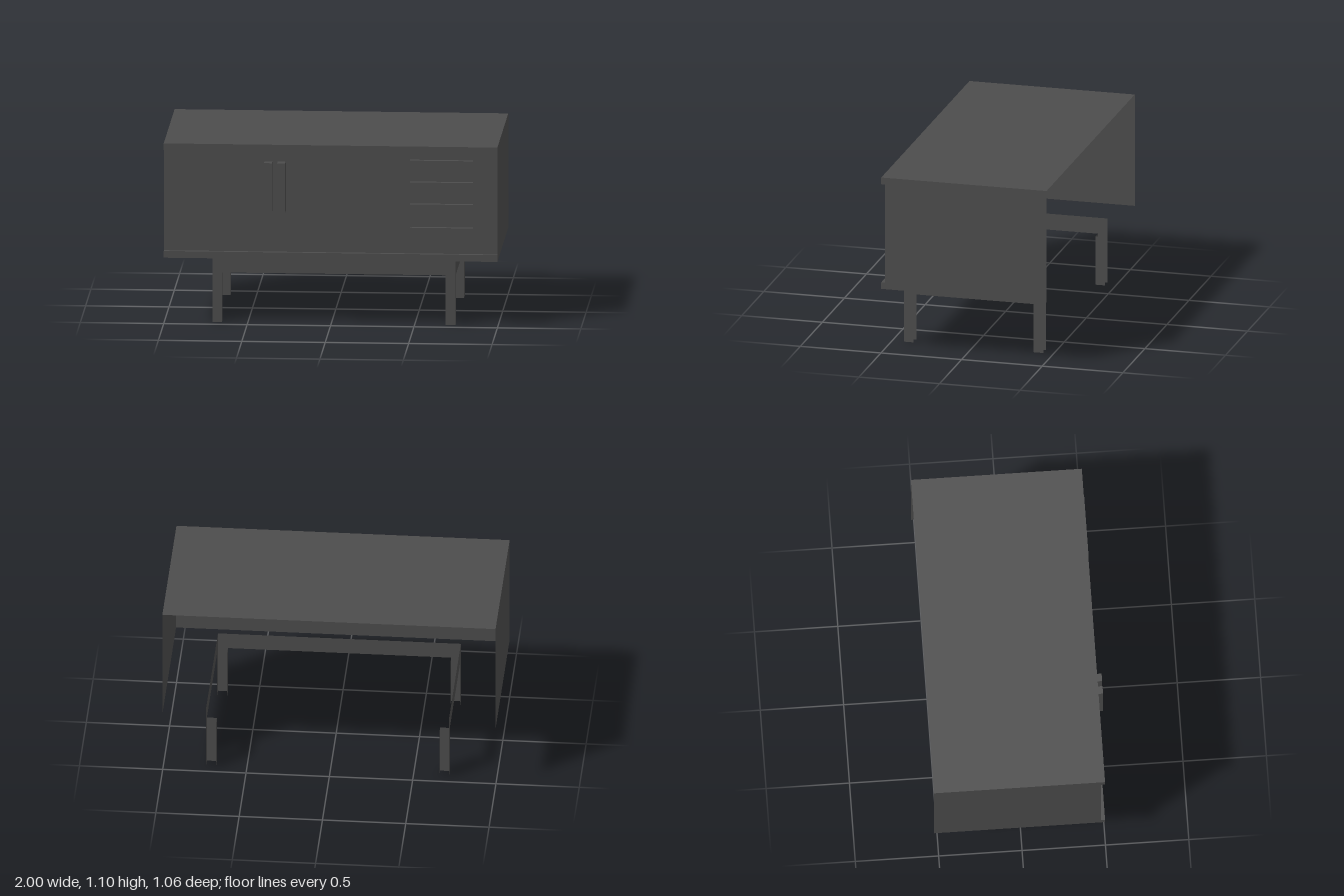
import * as THREE from 'three';

const SIDES = ['left', 'right', 'top', 'bottom', 'front', 'back']; // +x -x +y -y +z -z

export function createModel() {
  const group = new THREE.Group();
  const charcoal = new THREE.MeshStandardMaterial({ color: 0x4c4c4c, side: THREE.DoubleSide });
  charcoal.name = 'charcoal';

  // Sheet shell: a box that keeps only the listed faces
  function shell(name, [x0, x1], [y0, y1], [z0, z1], faces, parent = group) {
    const geo = new THREE.BoxGeometry(x1 - x0, y1 - y0, z1 - z0);
    const all = Array.from(geo.index.array);
    geo.setIndex(faces.flatMap((f) => {
      const start = SIDES.indexOf(f) * 6;
      return all.slice(start, start + 6);
    }));
    geo.clearGroups();
    const mesh = new THREE.Mesh(geo, charcoal);
    mesh.name = name;
    mesh.position.set((x0 + x1) / 2, (y0 + y1) / 2, (z0 + z1) / 2);
    parent.add(mesh);
    return mesh;
  }

  const FACE = 0.474; // z of the door and drawer front
  const openBack = ['left', 'right', 'top', 'bottom', 'front'];

  // Cabinet, open at the back and below, with lips along the front
  shell('cabinet', [-1, 1], [0.402, 1.1], [-0.527, FACE], ['left', 'right', 'top', 'front']);
  shell('topLip', [-1, 1], [1.058, 1.1], [FACE, 0.498], openBack);
  shell('bottomLip', [-1, 1], [0.402, 0.443], [FACE, 0.498], openBack);

  // Upright door handles
  for (const x of [-0.398, -0.318]) {
    shell('doorHandle', [x, x + 0.048], [0.693, 0.993], [FACE, 0.528], openBack);
  }

  // Drawer pulls
  for (const y of [0.587, 0.73, 0.864, 0.997]) {
    shell('drawerPull', [0.476, 0.853], [y, y + 0.018], [FACE, 0.502], openBack);
  }

  // Legs: hollow, open behind; the inner faces stop below the rails
  const legX = { right: [-0.713, -0.655], left: [0.685, 0.745] };
  const legZ = { front: [0.367, 0.427], back: [-0.437, -0.377] };
  for (const side of ['left', 'right']) {
    const inner = side === 'left' ? 'right' : 'left';
    for (const end of ['front', 'back']) {
      const leg = new THREE.Group();
      leg.name = `${end}Leg`;
      const isFront = end === 'front';
      shell('legOuter', legX[side], [0, 0.402], legZ[end], isFront ? [side, 'front'] : [side], leg);
      shell('legInner', legX[side], [0, 0.302], legZ[end], isFront ? [inner] : [inner, 'front'], leg);
      group.add(leg);
    }
    // Side rail, flush with the outer leg faces
    shell('sideRail', legX[side], [0.302, 0.402], [legZ.back[1], legZ.front[0]], [side]);
  }

  // Front rail
  shell('frontRail', [legX.right[1], legX.left[0]], [0.302, 0.402], legZ.front, ['front']);

  return group;
}
